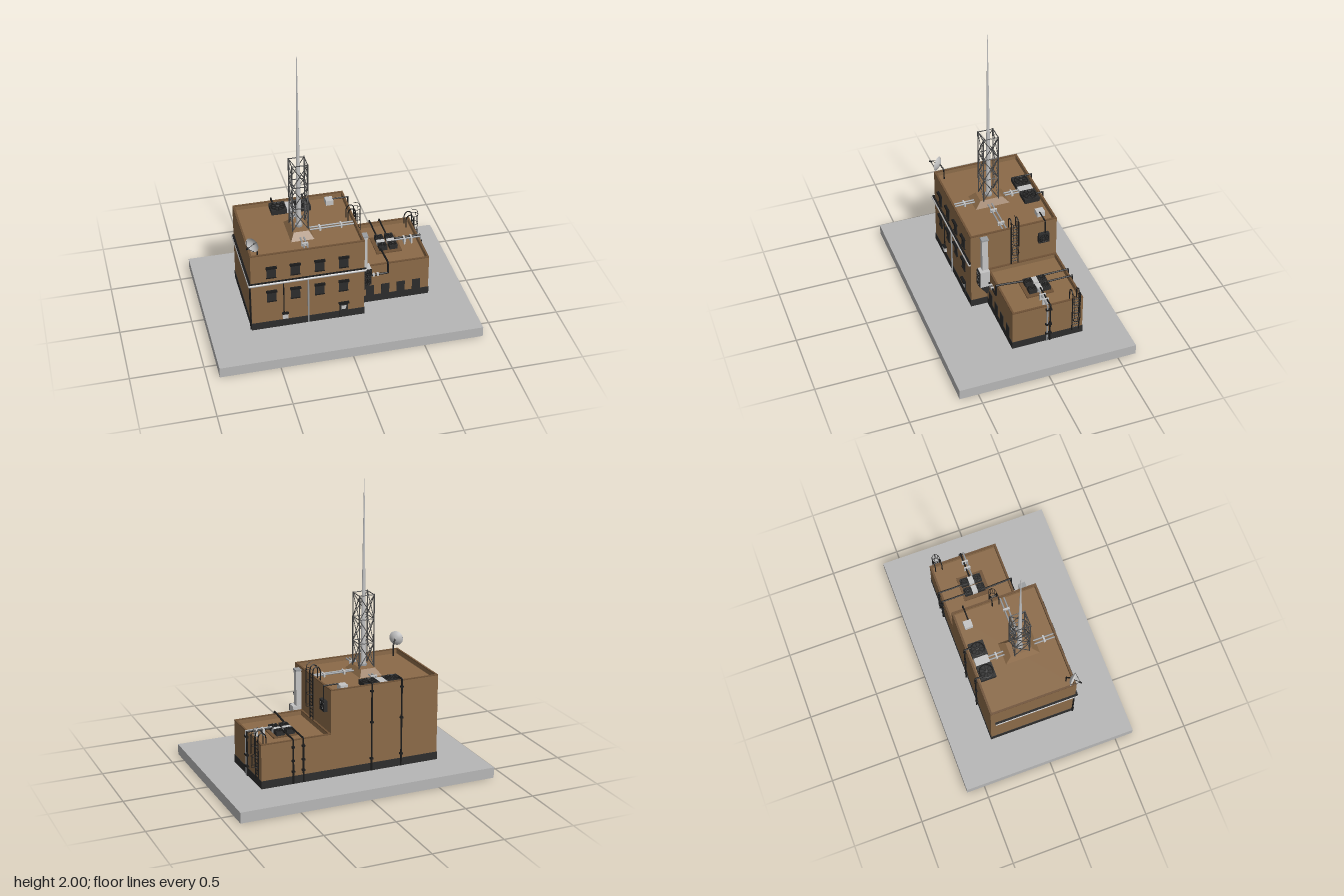
import * as THREE from 'three';

const mat = (name, color, side = THREE.FrontSide) => {
  const m = new THREE.MeshStandardMaterial({ color, side });
  m.name = name;
  return m;
};

export function createModel() {
  const root = new THREE.Group();
  root.name = 'radioStation';
  const wall = mat('brown wall', 0x8b6a48);
  const trim = mat('dark brown trim', 0x6f5236);
  const slab = mat('concrete', 0xb6b6b6);
  const dark = mat('charcoal', 0x2c2c2c);
  const black = mat('black metal', 0x1b1b1b);
  const steel = mat('tower steel', 0x4a4a4a);
  const light = mat('light metal', 0xc4c4c4, THREE.DoubleSide);
  const grey = mat('grey pipe', 0x9a9da0);

  const V = (x, y, z) => new THREE.Vector3(x, y, z);
  const add = (name, geo, m, parent = root) => {
    const mesh = new THREE.Mesh(geo, m);
    mesh.name = name;
    parent.add(mesh);
    return mesh;
  };
  const group = (name) => {
    const g = new THREE.Group();
    g.name = name;
    root.add(g);
    return g;
  };
  // box from its limits on each axis
  const box = (name, m, x0, x1, y0, y1, z0, z1, p) => {
    const b = add(name, new THREE.BoxGeometry(x1 - x0, y1 - y0, z1 - z0), m, p);
    b.position.set((x0 + x1) / 2, (y0 + y1) / 2, (z0 + z1) / 2);
    return b;
  };
  // straight round bar between two points
  const rod = (name, m, a, b, r, p, sides = 6) => {
    const c = add(name, new THREE.CylinderGeometry(r, r, a.distanceTo(b), sides), m, p);
    c.position.copy(a).add(b).multiplyScalar(0.5);
    c.quaternion.setFromUnitVectors(V(0, 1, 0), b.clone().sub(a).normalize());
    return c;
  };
  // run of pipe through several points
  const pipe = (name, m, pts, r, p) => {
    pts.slice(1).forEach((b, i) => {
      rod(name, m, pts[i], b, r, p, 8);
      if (i < pts.length - 2) add(name + 'Elbow', new THREE.SphereGeometry(r, 8, 6), m, p).position.copy(b);
    });
  };
  const curve = (name, m, pts, r, p) =>
    add(name, new THREE.TubeGeometry(new THREE.CatmullRomCurve3(pts), 20, r, 5), m, p);

  // ground slab
  box('groundSlab', slab, -0.915, 0.915, 0, 0.075, -0.63, 0.63);

  // flat-roofed blocks with dark plinth and parapet
  const block = (name, x0, x1, y1, z0, z1) => {
    const g = group(name), t = 0.014, roof = y1 - 0.035;
    box('plinth', dark, x0 - 0.003, x1 + 0.003, 0.075, 0.13, z0 - 0.003, z1 + 0.003, g);
    box('walls', wall, x0, x1, 0.13, roof, z0, z1, g);
    [[x0, x1, z0, z0 + t], [x0, x1, z1 - t, z1], [x0, x0 + t, z0 + t, z1 - t], [x1 - t, x1, z0 + t, z1 - t]]
      .forEach(([a, b, c, d]) => {
        box('parapet', wall, a, b, roof, y1 - 0.006, c, d, g);
        box('parapetCap', trim, a, b, y1 - 0.006, y1, c, d, g);
      });
  };
  block('mainBuilding', -0.625, 0.162, 0.69, -0.34, 0.285);
  block('annex', 0.162, 0.658, 0.385, -0.34, 0.165);

  // main windows with hoods and sills
  const windows = group('windows');
  for (const x of [-0.485, -0.32, -0.152, 0.015]) {
    for (const y of [0.5, 0.303]) {
      box('windowPane', dark, x - 0.032, x + 0.032, y, y + 0.078, 0.284, 0.289, windows);
      box('windowHood', black, x - 0.037, x + 0.037, y + 0.076, y + 0.09, 0.284, 0.302, windows);
      box('windowSill', black, x - 0.034, x + 0.034, y - 0.004, y + 0.002, 0.284, 0.294, windows);
    }
  }
  for (const x of [0.235, 0.345, 0.457, 0.568])
    box('annexWindow', dark, x - 0.029, x + 0.029, 0.128, 0.213, 0.164, 0.169, windows);

  // entrance door with canopy
  const door = group('entrance');
  box('door', dark, -0.012, 0.045, 0.078, 0.195, 0.284, 0.291, door);
  box('doorPanel', light, 0, 0.033, 0.145, 0.175, 0.291, 0.293, door);
  box('canopy', black, -0.02, 0.053, 0.195, 0.205, 0.284, 0.305, door);

  // pipes on the walls
  const wp = group('wallPipes');
  pipe('bandPipe', light, [V(0.17, 0.455, 0.297), V(-0.636, 0.455, 0.297), V(-0.636, 0.455, -0.31)], 0.01, wp);
  box('bandRail', black, -0.64, 0.172, 0.464, 0.468, 0.286, 0.3, wp);
  box('bandRail', black, -0.641, -0.626, 0.464, 0.468, -0.31, 0.297, wp);
  pipe('frontPipe', grey, [V(-0.232, 0.45, 0.293), V(-0.232, 0.08, 0.293)], 0.006, wp);
  pipe('frontCable', black, [V(-0.402, 0.45, 0.29), V(-0.402, 0.18, 0.29)], 0.004, wp);
  box('meterBox', light, -0.413, -0.375, 0.145, 0.183, 0.285, 0.303, wp);
  box('meterLid', black, -0.417, -0.371, 0.183, 0.19, 0.285, 0.306, wp);
  pipe('cornerPipe', black, [V(-0.631, 0.445, 0.275), V(-0.631, 0.08, 0.275)], 0.006, wp);
  const downpipe = (m, x, top, zIn, roof) => {
    pipe('downpipe', m, [V(x, 0.08, -0.35), V(x, top, -0.35), V(x, top, zIn), V(x, roof, zIn)], 0.006, wp);
    for (const y of [0.16, top * 0.6, top - 0.06]) box('clip', black, x - 0.01, x + 0.01, y, y + 0.012, -0.358, -0.339, wp);
  };
  downpipe(black, -0.35, 0.7, -0.3, 0.67);
  downpipe(black, -0.13, 0.7, -0.3, 0.67);
  downpipe(black, 0.365, 0.392, -0.17, 0.37);
  downpipe(black, 0.437, 0.392, -0.17, 0.37);
  for (const z of [-0.08, -0.1])
    pipe('sidePipe', z < -0.09 ? black : grey, [V(0.667, 0.08, z), V(0.667, 0.392, z), V(0.48, 0.392, z)], 0.006, wp);
  for (const y of [0.14, 0.22, 0.35]) box('sideClip', black, 0.655, 0.676, y, y + 0.012, -0.112, -0.068, wp);

  // square fan unit, open side along local +y
  const fan = (name, x, y, z, s, h) => {
    const g = group(name);
    g.position.set(x, y, z);
    box('housing', dark, -s / 2, s / 2, 0, h, -s / 2, s / 2, g);
    const ring = add('ring', new THREE.TorusGeometry(s * 0.42, s * 0.045, 5, 20), black, g);
    ring.rotation.x = Math.PI / 2;
    ring.position.y = h;
    add('hub', new THREE.CylinderGeometry(s * 0.1, s * 0.1, 0.008, 10), steel, g).position.y = h;
    for (let i = 0; i < 4; i++) {
      const blade = add('blade', new THREE.BoxGeometry(s * 0.8, 0.004, s * 0.07), black, g);
      blade.position.y = h + 0.002;
      blade.rotation.y = (i * Math.PI) / 4;
    }
    return g;
  };
  // main roof cooling units
  fan('roofFan', -0.32, 0.655, -0.26, 0.11, 0.033);
  fan('roofFan', -0.15, 0.655, -0.26, 0.11, 0.033);
  box('roofFanDuct', light, -0.265, -0.205, 0.655, 0.683, -0.31, -0.21);
  // annex roof cooling units
  box('fanPlatform', trim, 0.325, 0.51, 0.35, 0.358, -0.19, 0.005);
  for (const x of [0.381, 0.455]) {
    for (const z of [-0.146, -0.05]) fan('annexFan', x, 0.355, z, 0.058, 0.034);
    box('annexFanDuct', light, x - 0.029, x + 0.029, 0.356, 0.386, -0.117, -0.079);
  }

  // pyramid mast base
  const base = add('mastBase', new THREE.CylinderGeometry(0.5, 0.78, 1, 4, 1).rotateY(Math.PI / 4).toNonIndexed(), wall);
  base.geometry.computeVertexNormals();
  base.scale.set(0.147, 0.045, 0.225);
  base.position.set(-0.232, 0.6775, 0.012);

  // lattice tower
  const tower = group('latticeTower'), tx = -0.232, tz = 0.015, w = 0.054;
  const corner = (i, y) => V(tx + [w, -w, -w, w][i % 4], y, tz + [w, w, -w, -w][i % 4]);
  for (let i = 0; i < 4; i++) {
    rod('leg', steel, corner(i, 0.66), corner(i, 1.215), 0.0045, tower);
    for (let k = 0; k < 3; k++) {
      const y0 = 0.7 + k * 0.17, y1 = y0 + 0.17;
      rod('brace', steel, corner(i, y0), corner(i + 1, y1), 0.003, tower, 5);
      rod('brace', steel, corner(i + 1, y0), corner(i, y1), 0.003, tower, 5);
      rod('ringBar', steel, corner(i, y1), corner(i + 1, y1), 0.0035, tower, 5);
    }
  }
  // tapered mast
  add('mast', new THREE.CylinderGeometry(0.002, 0.019, 1.3, 12), light).position.set(tx, 1.35, tz);
  add('mastFoot', new THREE.CylinderGeometry(0.026, 0.026, 0.014, 12), grey).position.set(tx, 0.706, tz);

  // pipes across the roofs
  const rp = group('roofPipes');
  for (const z of [0.015, 0.042]) pipe('roofPipe', grey, [V(-0.16, 0.67, z), V(0.15, 0.67, z)], 0.006, rp);
  for (const x of [-0.09, 0.06]) box('pipeSupport', light, x - 0.006, x + 0.006, 0.655, 0.68, 0.005, 0.052, rp);
  for (const x of [-0.245, -0.22]) {
    pipe('crossPipe', grey, [V(x, 0.67, -0.21), V(x, 0.67, -0.1)], 0.006, rp);
    pipe('crossPipe', grey, [V(x, 0.67, 0.12), V(x, 0.67, 0.27)], 0.006, rp);
  }
  for (const z of [-0.155, 0.195]) box('pipeSupport', light, -0.256, -0.209, 0.655, 0.68, z - 0.006, z + 0.006, rp);
  for (const x of [0.55, 0.6]) box('pipeSupport', light, x - 0.006, x + 0.006, 0.35, 0.398, -0.113, -0.067, rp);
  pipe('annexPipe', black, [V(0.36, 0.375, -0.02), V(0.36, 0.392, 0.14), V(0.36, 0.392, 0.175), V(0.36, 0.31, 0.175),
    V(0.225, 0.31, 0.175)], 0.007, rp);
  for (const x of [0.25, 0.28]) box('pipeClamp', light, x, x + 0.014, 0.3, 0.32, 0.164, 0.185, rp);

  // small vent box feeding the side wall fan
  box('ventBox', light, 0.018, 0.072, 0.655, 0.692, -0.29, -0.232);
  pipe('ventPipe', black, [V(0.07, 0.695, -0.25), V(0.178, 0.695, -0.25), V(0.178, 0.59, -0.25)], 0.005);
  fan('sideWallFan', 0.162, 0.557, -0.24, 0.076, 0.025).rotation.z = -Math.PI / 2;

  // corner cooling unit, riser duct and stepped bracket
  const cu = group('cornerUnit');
  box('riserDuct', light, 0.162, 0.2, 0.38, 0.665, 0.172, 0.215, cu);
  box('ductCap', grey, 0.162, 0.204, 0.662, 0.674, 0.168, 0.219, cu);
  box('unitBody', light, 0.162, 0.225, 0.28, 0.41, 0.168, 0.238, cu);
  box('unitFace', black, 0.162, 0.225, 0.28, 0.41, 0.238, 0.242, cu);
  for (const y of [0.313, 0.377]) fan('unitFan', 0.194, y, 0.241, 0.058, 0.004).rotation.x = Math.PI / 2;
  for (let i = 0; i < 5; i++)
    box('bracketStep', dark, 0.162, 0.215 - i * 0.007, 0.262 - i * 0.02, 0.282 - i * 0.02, 0.166, 0.23 - i * 0.012, cu);

  // caged ladders on the +x walls
  const ladder = (x, zc, y0, top) => {
    const g = group('ladder'), hw = 0.025, lx = x + 0.01;
    for (const s of [-1, 1]) {
      const z = zc + s * hw;
      rod('rail', black, V(lx, y0, z), V(lx, top + 0.03, z), 0.0045, g);
      curve('handrail', black, [V(lx, top + 0.03, z), V(lx - 0.008, top + 0.06, z), V(x - 0.02, top + 0.07, z),
        V(x - 0.042, top + 0.05, z), V(x - 0.045, top - 0.03, z)], 0.004, g);
    }
    for (let y = y0 + 0.02; y < top + 0.03; y += 0.025)
      rod('rung', black, V(lx, y, zc - hw), V(lx, y, zc + hw), 0.003, g, 5);
    // safety cage
    const low = y0 + 0.1, high = top + 0.055;
    for (let i = 0; i < 4; i++) {
      const y = low + ((high - low) * i) / 3, pts = [];
      for (let a = 0; a <= 8; a++) {
        const t = (a / 8 - 0.5) * Math.PI;
        pts.push(V(lx + Math.cos(t) * 0.04, y, zc + Math.sin(t) * 0.028));
      }
      curve('cageHoop', black, pts, 0.002, g);
    }
    for (const t of [-0.9, 0, 0.9]) {
      const cx = lx + Math.cos(t) * 0.04, cz = zc + Math.sin(t) * 0.028;
      rod('cageBar', black, V(cx, low, cz), V(cx, high, cz), 0.0017, g, 5);
    }
    curve('cageTop', black, [V(lx + 0.04, high, zc), V(lx + 0.028, high + 0.035, zc), V(lx - 0.01, high + 0.05, zc)], 0.002, g);
  };
  ladder(0.162, -0.03, 0.385, 0.69);
  ladder(0.658, -0.285, 0.12, 0.385);

  // satellite dish on the front corner
  const dish = group('satelliteDish');
  const bowl = [0, 0.02, 0.037, 0.052].map((r) => new THREE.Vector2(r, r * r * 8));
  add('bowl', new THREE.LatheGeometry(bowl, 20), light, dish);
  for (let i = 0; i < 3; i++) {
    const a = (i * Math.PI * 2) / 3;
    rod('feedArm', black, V(Math.cos(a) * 0.05, 0.02, Math.sin(a) * 0.05), V(0, 0.075, 0), 0.0018, dish, 5);
  }
  add('feed', new THREE.CylinderGeometry(0.006, 0.006, 0.018, 8), black, dish).position.y = 0.075;
  dish.position.set(-0.588, 0.77, 0.25);
  dish.quaternion.setFromUnitVectors(V(0, 1, 0), V(-0.72, 0.04, 0.69).normalize());
  pipe('dishStand', black, [V(-0.565, 0.655, 0.23), V(-0.565, 0.735, 0.23), V(-0.588, 0.77, 0.25)], 0.005);

  return root;
}
